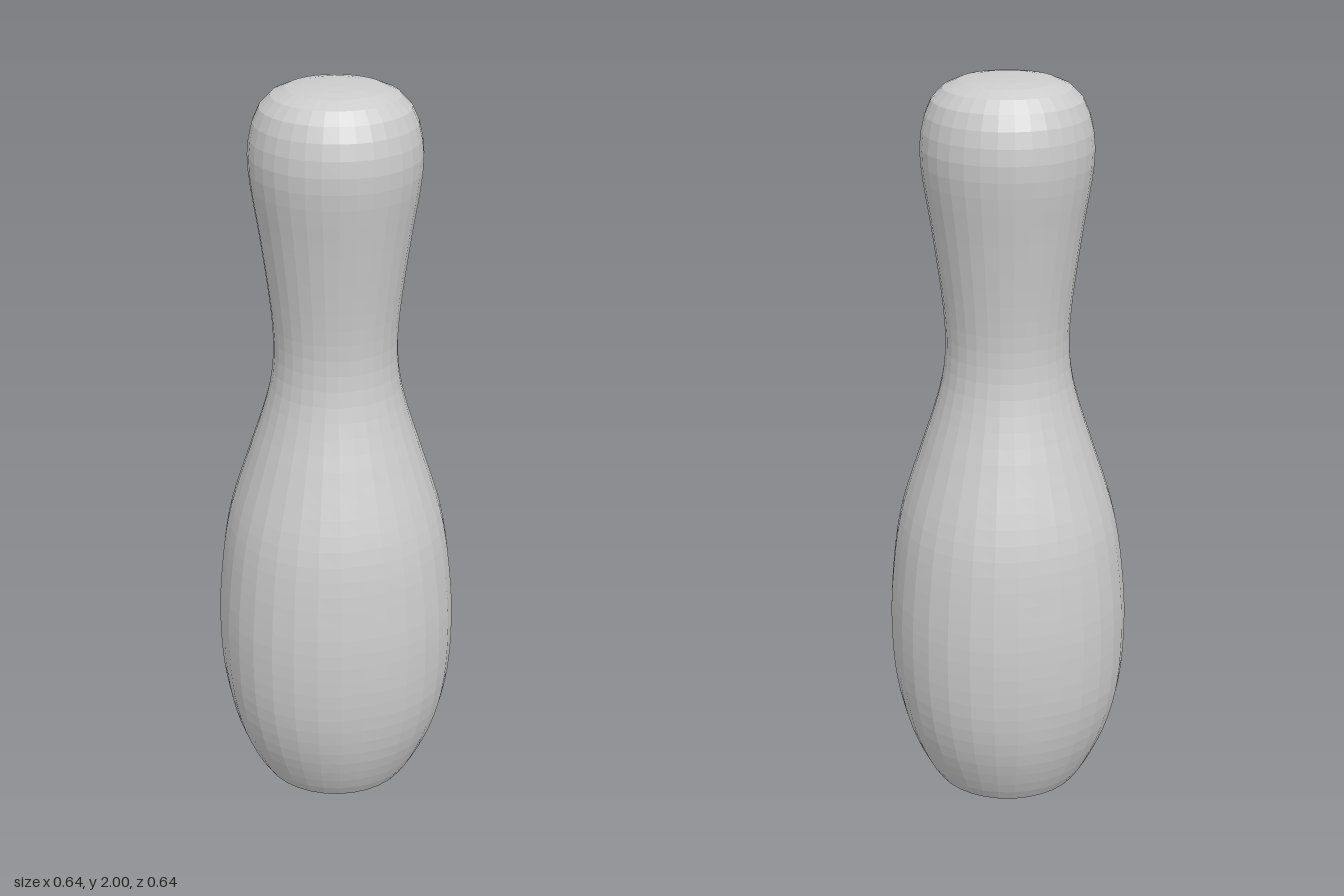
import * as THREE from 'three';

export function createModel() {
  const group = new THREE.Group();
  group.name = 'bowlingPin';

  // Side profile (radius, height) from the foot to the crown
  const profile = new THREE.SplineCurve([
    [0.207, 0], [0.243, 0.06], [0.286, 0.17], [0.312, 0.3], [0.3215, 0.45], [0.316, 0.6],
    [0.29, 0.8], [0.231, 1.0], [0.199, 1.1], [0.174, 1.2], [0.165, 1.3], [0.173, 1.42],
    [0.197, 1.6], [0.219, 1.74], [0.225, 1.82], [0.215, 1.89], [0.192, 1.945],
    [0.152, 1.98], [0.1, 1.994], [0.05, 1.999], [0, 2],
  ].map(([r, y]) => new THREE.Vector2(r, y)));
  const points = [new THREE.Vector2(0, 0), ...profile.getSpacedPoints(52)];
  points[points.length - 1].set(0, 2);

  const geometry = new THREE.LatheGeometry(points, 32);

  // The belly is very slightly squared; foot, neck and head stay round
  const pos = geometry.attributes.position;
  for (let i = 0; i < pos.count; i++) {
    const x = pos.getX(i), y = pos.getY(i), z = pos.getZ(i);
    const belly = THREE.MathUtils.smoothstep(y, 0, 0.35) * (1 - THREE.MathUtils.smoothstep(y, 0.6, 1.25));
    const s = 1 + 0.034 * belly * Math.abs(Math.sin(2 * Math.atan2(z, x)));
    pos.setXYZ(i, x * s, y, z * s);
  }
  geometry.computeVertexNormals();

  const pin = new THREE.Mesh(geometry, new THREE.MeshStandardMaterial({ color: 0xcccccc, flatShading: true }));
  pin.name = 'pinBody';
  group.add(pin);
  return group;
}
